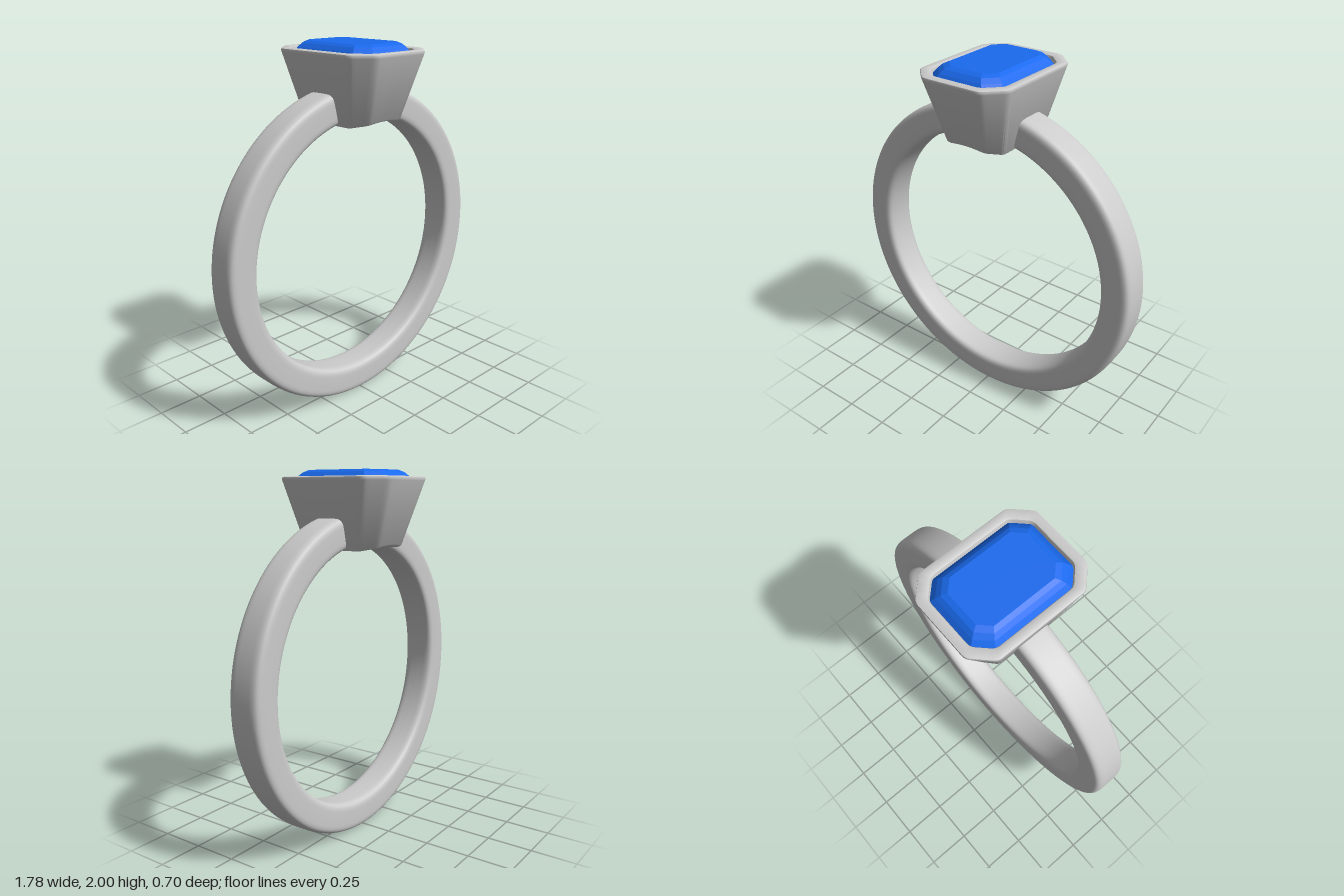
import * as THREE from 'three';
import { toCreasedNormals } from 'three/addons/utils/BufferGeometryUtils.js';

const CENTRE_Y = 0.893, INNER_R = 0.72, OUTER_R = 0.89, HALF_WIDTH = 0.094;

// Rectangle with cut corners in plan; r softens the eight corners.
function octagon(hx, hz, cut, r = 0) {
  const corners = [
    [hx, cut - hz], [hx, hz - cut], [hx - cut, hz], [cut - hx, hz],
    [-hx, hz - cut], [-hx, cut - hz], [cut - hx, -hz], [hx - cut, -hz],
  ].map(([x, z]) => new THREE.Vector2(x, z));
  if (!r) return corners;
  const toward = (p, q) => p.clone().add(q.clone().sub(p).setLength(r));
  const points = [];
  corners.forEach((p, i) => {
    const prev = corners[(i + 7) % 8], next = corners[(i + 1) % 8];
    const end = toward(p, next);
    points.push(...new THREE.QuadraticBezierCurve(toward(p, prev), p, end).getPoints(4));
    // Extra points along the straight side let it follow the finger curve.
    const nextStart = toward(next, p);
    for (let k = 1; k < 6; k++) points.push(end.clone().lerp(nextStart, k / 6));
  });
  return points;
}

// Skin between stacked outlines; heightAt may be a number or a rule of x.
function loft(rings, closed, crease) {
  const n = rings[0].points.length, positions = [], index = [];
  for (const { points, y } of rings) {
    for (const p of points) positions.push(p.x, typeof y === 'function' ? y(p.x) : y, p.y);
  }
  const last = closed ? rings.length : rings.length - 1;
  for (let i = 0; i < last; i++) {
    for (let j = 0; j < n; j++) {
      const k = (j + 1) % n, up = ((i + 1) % rings.length) * n;
      const a = i * n + j, b = i * n + k, c = up + j, d = up + k;
      index.push(a, c, b, b, c, d);
    }
  }
  const geometry = new THREE.BufferGeometry();
  geometry.setAttribute('position', new THREE.Float32BufferAttribute(positions, 3));
  geometry.setIndex(index);
  return toCreasedNormals(geometry, crease);
}

export function createModel() {
  const group = new THREE.Group();
  const metal = new THREE.MeshStandardMaterial({ color: 0xcccccc });
  const blue = new THREE.MeshStandardMaterial({ color: 0x1a6aee });
  const add = (name, geometry, material) => {
    const mesh = new THREE.Mesh(geometry, material);
    mesh.name = name;
    group.add(mesh);
    return mesh;
  };

  // Band: softly squared section swept round, its ends buried in the setting.
  const section = [];
  const soften = (v) => Math.sign(v) * Math.abs(v) ** 0.4;
  for (let i = 0; i <= 48; i++) {
    const t = Math.PI + (i / 48) * Math.PI * 2;
    section.push(new THREE.Vector2(
      (INNER_R + OUTER_R) / 2 + soften(Math.cos(t)) * (OUTER_R - INNER_R) / 2,
      i % 24 === 0 ? 0 : soften(Math.sin(t)) * HALF_WIDTH,
    ));
  }
  const gap = 0.217;
  const bandGeometry = new THREE.LatheGeometry(section, 128, gap, Math.PI * 2 - gap * 2);
  bandGeometry.rotateX(-Math.PI / 2);
  add('band', bandGeometry, metal).position.y = CENTRE_Y;

  // Setting: flared hollow collar whose underside follows the finger opening.
  const fingerCurve = (x) => CENTRE_Y + Math.sqrt(INNER_R ** 2 - x ** 2);
  const ring = (hx, hz, cut, y) => ({ points: octagon(hx, hz, cut, 0.022), y });
  add('setting', loft([
    ring(0.178, 0.232, 0.066, (x) => fingerCurve(x)),
    ring(0.184, 0.240, 0.068, (x) => fingerCurve(x) + 0.008),
    ring(0.267, 0.347, 0.098, 1.945),
    ring(0.270, 0.350, 0.100, 1.954),
    ring(0.268, 0.348, 0.099, 1.962),
    ring(0.260, 0.340, 0.096, 1.966),
    ring(0.230, 0.310, 0.084, 1.966),
    ring(0.221, 0.301, 0.080, 1.962),
    ring(0.217, 0.297, 0.078, 1.952),
    ring(0.214, 0.294, 0.077, 1.92),
    ring(0.112, 0.165, 0.050, (x) => fingerCurve(x) + 0.004),
    ring(0.118, 0.171, 0.052, (x) => fingerCurve(x)),
  ], true, 0.65), metal);

  // Gem: stepped facets above and below a cut-corner girdle.
  const facet = (hx, hz, cut, y) => ({ points: octagon(hx, hz, cut), y });
  add('gem', loft([
    facet(0, 0.08, 0, 1.75),
    facet(0.09, 0.17, 0.035, 1.80),
    facet(0.165, 0.245, 0.06, 1.865),
    facet(0.215, 0.295, 0.075, 1.925),
    facet(0.215, 0.295, 0.075, 1.94),
    facet(0.193, 0.273, 0.068, 1.968),
    facet(0.172, 0.252, 0.062, 1.988),
    facet(0.148, 0.225, 0.054, 2),
    facet(0, 0.08, 0, 2),
  ], false, 0.1), blue);

  return group;
}
